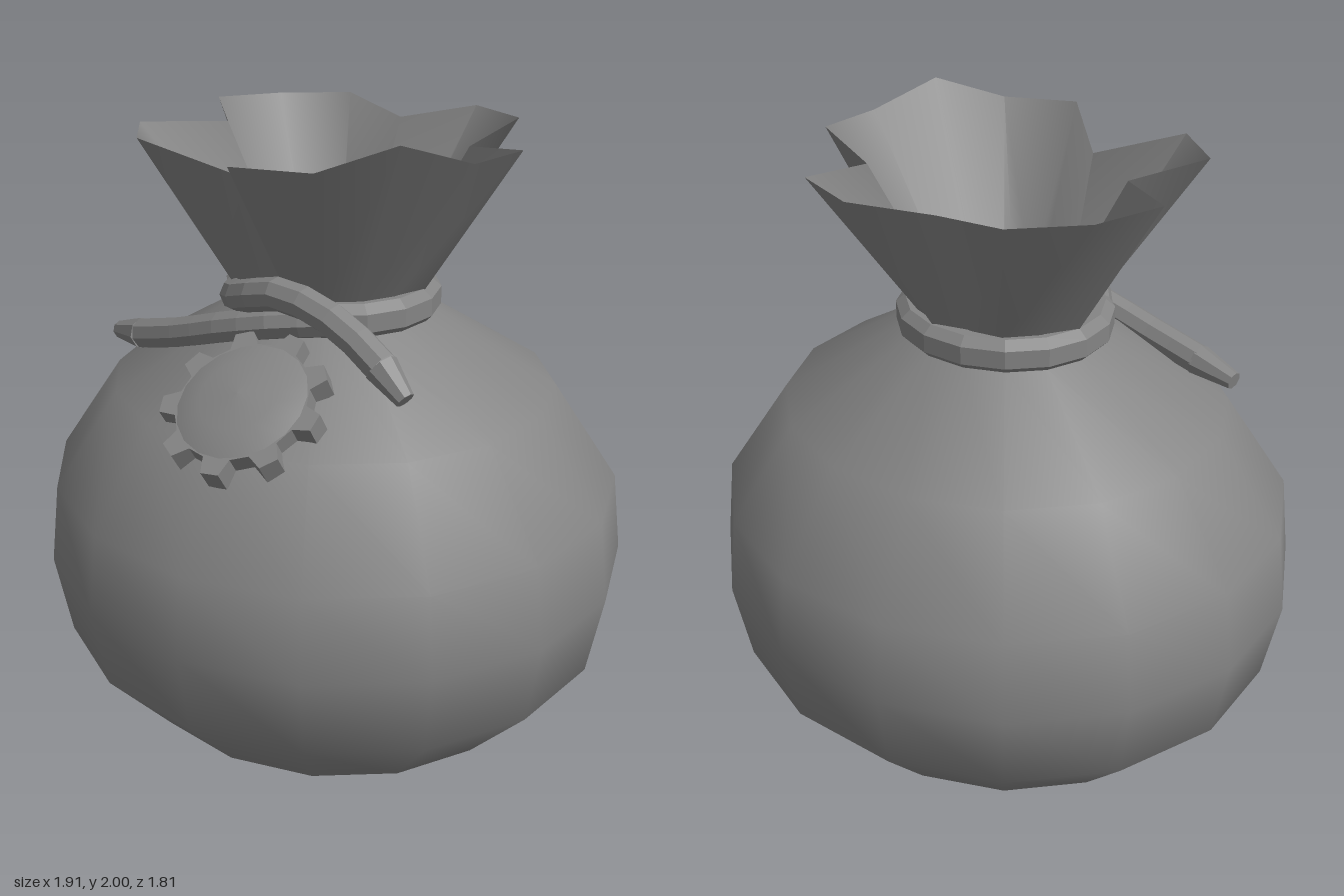
import * as THREE from 'three';

const V = (x, y, z) => new THREE.Vector3(x, y, z);
const GREY = 0x848484;
const smooth = new THREE.MeshStandardMaterial({ color: GREY, side: THREE.DoubleSide });
const faceted = new THREE.MeshStandardMaterial({ color: GREY, flatShading: true });

function part(name, geometry, material) {
  const mesh = new THREE.Mesh(geometry, material);
  mesh.name = name;
  return mesh;
}

function lathe(profile, sides, zScale) {
  const geometry = new THREE.LatheGeometry(profile.map(([r, y]) => new THREE.Vector2(r, y)), sides);
  return geometry.scale(1, 1, zScale);
}

// Closed rings of equal length joined by quads, facing outward from bottom to top
function loft(rings) {
  const n = rings[0].length;
  const index = [];
  for (let k = 0; k < rings.length - 1; k++) {
    for (let i = 0; i < n; i++) {
      const j = (i + 1) % n;
      const a = k * n + i, b = k * n + j, c = a + n, d = b + n;
      index.push(a, c, b, c, d, b);
    }
  }
  const geometry = new THREE.BufferGeometry().setFromPoints(rings.flat());
  geometry.setIndex(index);
  geometry.computeVertexNormals();
  return geometry;
}

// Ruffled mouth: a star-like rim gathered into the neck, lined by a funnel.
// The pinched pleats of the outside fold through the lining.
function createMouth() {
  const rim = [
    [0, 1.93, -0.58], [0.23, 1.93, -0.54], [0.30, 1.89, -0.27], [0.565, 1.93, -0.22],
    [0.605, 1.93, 0], [0.56, 2, 0.22], [0.43, 1.93, 0.4], [0.23, 1.93, 0.53],
    [0, 1.85, 0.37], [-0.23, 1.93, 0.53], [-0.43, 1.93, 0.4], [-0.36, 1.91, 0.13],
    [-0.605, 1.935, 0], [-0.565, 1.93, -0.22], [-0.43, 1.93, -0.41], [-0.16, 1.89, -0.4],
  ].map((p) => V(...p));
  const pinch = { 1: 0.2, 2: 0.17, 3: 0.3, 7: 0.2, 8: 0.14, 9: 0.3, 10: 0.22, 11: 0.15, 12: 0.3, 15: 0.25 };
  const neck = rim.map((p, i) => {
    const angle = (i / rim.length) * Math.PI * 2;
    const r = pinch[i] ?? 0.275;
    return V(r * Math.sin(angle), 1.46, -r * Math.cos(angle));
  });
  const bottom = rim.map((p) => V(p.x * 0.03, 1.11, p.z * 0.03));

  const mouth = new THREE.Group();
  mouth.name = 'mouth';
  mouth.add(part('mouthOutside', loft([neck, rim]), smooth));
  mouth.add(part('mouthLining', loft([rim, bottom]), smooth));
  return mouth;
}

// Cord end: a faceted tube finished with a tapered tip
function createCordEnd(name, points, tipEnd) {
  const group = new THREE.Group();
  group.name = name;
  const radius = 0.049;
  const path = new THREE.CatmullRomCurve3(points.map((p) => V(...p)));
  group.add(part('cord', new THREE.TubeGeometry(path, 8, radius, 8), faceted));
  const start = path.getPoint(1), end = V(...tipEnd);
  const axis = end.clone().sub(start);
  const tip = part('cordTip', new THREE.CylinderGeometry(0.028, radius + 0.001, axis.length(), 8), faceted);
  tip.position.copy(start).add(end).multiplyScalar(0.5);
  tip.quaternion.setFromUnitVectors(V(0, 1, 0), axis.normalize());
  group.add(tip);
  return group;
}

// Toothed seal with a low domed middle, sunk into the shoulder of the sack
function createSeal() {
  const teeth = 9, shape = new THREE.Shape();
  const steps = [[-0.3, 0.2], [-0.16, 0.25], [0.16, 0.25], [0.3, 0.2]];
  for (let i = 0; i < teeth; i++) {
    for (const [offset, r] of steps) {
      const angle = ((i + offset + 0.2) / teeth) * Math.PI * 2;
      const x = r * Math.cos(angle), y = r * Math.sin(angle);
      if (i === 0 && offset === -0.3) shape.moveTo(x, y);
      else shape.lineTo(x, y);
    }
  }
  shape.closePath();
  const seal = new THREE.Group();
  seal.name = 'seal';
  const disc = new THREE.ExtrudeGeometry(shape, { depth: 0.07, bevelEnabled: false });
  seal.add(part('sealTeeth', disc.translate(0, 0, -0.035), faceted));
  const dome = lathe([[0.198, 0.034], [0.12, 0.065], [0, 0.072]], 18, 1);
  seal.add(part('sealDome', dome.rotateX(Math.PI / 2), smooth));
  seal.position.set(0.235, 1.242, 0.495);
  seal.quaternion.setFromUnitVectors(V(0, 0, 1), V(0.2, 0.83, 0.52).normalize());
  return seal;
}

export function createModel() {
  const sack = new THREE.Group();
  sack.name = 'sack';

  // Plump sixteen-sided body
  const body = [[0, 0], [0.485, 0], [0.69, 0.11], [0.91, 0.35], [0.957, 0.61],
    [0.925, 0.86], [0.715, 1.16], [0.32, 1.39], [0.25, 1.46]];
  sack.add(part('body', lathe(body, 16, 0.948), smooth));
  sack.add(createMouth());

  // Band tied around the neck
  const band = [[0.25, 1.385], [0.325, 1.385], [0.345, 1.405], [0.345, 1.46], [0.315, 1.485], [0.24, 1.485]];
  sack.add(part('neckBand', lathe(band, 16, 0.94), faceted));

  // Crossing loose ends of the cord
  sack.add(createCordEnd('leftCordEnd',
    [[-0.17, 1.435, 0.23], [-0.06, 1.46, 0.32], [0.08, 1.505, 0.35], [0.2, 1.535, 0.34], [0.34, 1.515, 0.31], [0.46, 1.46, 0.28], [0.55, 1.405, 0.265]],
    [0.64, 1.335, 0.255]));
  sack.add(createCordEnd('rightCordEnd',
    [[0.25, 1.44, 0.2], [0.12, 1.42, 0.3], [-0.05, 1.375, 0.37], [-0.22, 1.32, 0.41], [-0.41, 1.27, 0.44]],
    [-0.55, 1.245, 0.445]));

  sack.add(createSeal());
  return sack;
}
